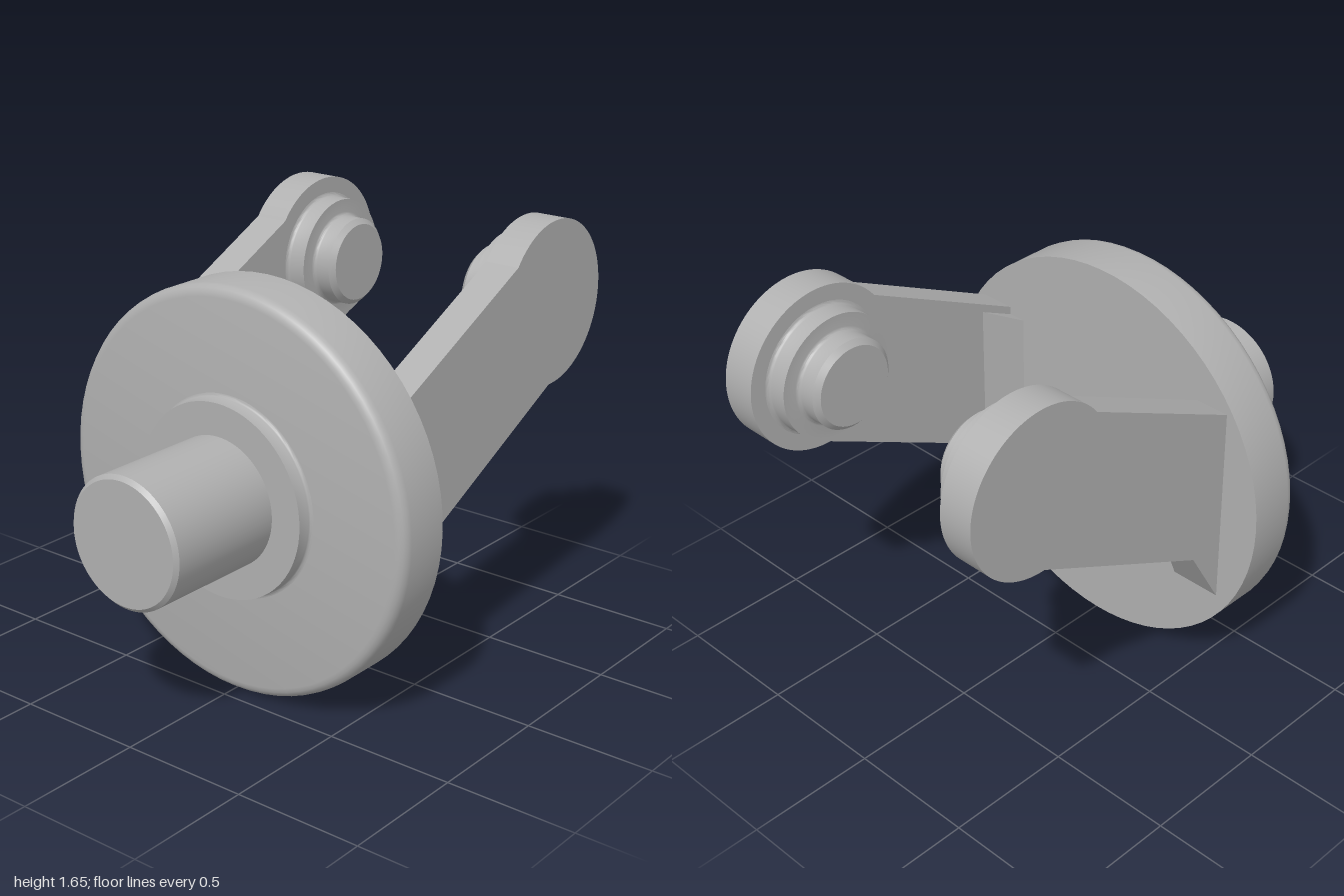
import * as THREE from 'three';
import { toCreasedNormals } from 'three/addons/utils/BufferGeometryUtils.js';

const AXIS_Y = 0.77;               // height of the shaft and disc axis
const PIVOT = [0.685, 1.335];      // centre of the rounded arm ends
const ARM_IN = 0.47, ARM_OUT = 0.607;

// Quarter arc as profile points, angles in degrees
function arc(cx, cy, r, from, to, n = 4) {
  return Array.from({ length: n + 1 }, (_, i) => {
    const a = THREE.MathUtils.degToRad(from + (to - from) * i / n);
    return [cx + r * Math.cos(a), cy + r * Math.sin(a)];
  });
}

// Turned part from [radius, height] points, sharp edges kept
function turned(points) {
  const lathe = new THREE.LatheGeometry(points.map(([r, h]) => new THREE.Vector2(r, h)), 72);
  return toCreasedNormals(lathe, 0.6);
}

export function createModel() {
  const model = new THREE.Group();
  model.name = 'forkBracket';
  const metal = new THREE.MeshStandardMaterial({ color: 0xb0b0b0 });
  metal.name = 'greyMetal';

  function add(name, geometry, x = 0, y = 0, z = 0) {
    const mesh = new THREE.Mesh(geometry, metal);
    mesh.name = name;
    mesh.position.set(x, y, z);
    model.add(mesh);
  }

  // Shaft, collar and disc turned about the x axis
  const alongX = {
    shaft: [[0, -1], [0.23, -1], [0.245, -0.985], [0.245, -0.51]],
    collar: [[0, -0.513], [0.368, -0.513], ...arc(0.383, -0.468, 0.015, 180, 90).map(
      ([r, h]) => [r, h]).slice(0, 1), ...arc(0.383, -0.47, 0.015, 180, 90)],
    disc: [[0, -0.455], ...arc(0.728, -0.413, 0.042, -90, 0), [0.77, -0.235], [0, -0.235]],
  };
  alongX.collar.splice(2, 1);
  for (const [name, points] of Object.entries(alongX)) {
    add(name, turned(points).rotateZ(-Math.PI / 2), 0, AXIS_Y, 0);
  }

  // Arm outline: foot, sloping edges and round end
  const armShape = new THREE.Shape();
  armShape.moveTo(-0.236, 1.197);
  armShape.lineTo(-0.236, 0.39);
  armShape.lineTo(-0.09, 0.638);
  armShape.absarc(PIVOT[0], PIVOT[1], 0.315, -1.6, 2.5, false);
  armShape.closePath();

  // Gusset outline at the foot of each arm
  const gussetShape = new THREE.Shape([
    [-0.236, 0.39], [-0.09, 0.638], [-0.09, 1.235], [-0.236, 1.165],
  ].map(([x, y]) => new THREE.Vector2(x, y)));

  // Stepped pin with a fillet under each step and a chamfered tip
  const pinProfile = [
    ...arc(0.253, 0.015, 0.015, 270, 180),
    [0.238, 0.08], [0.187, 0.08],
    ...arc(0.187, 0.095, 0.015, 270, 180),
    [0.172, 0.152], [0.152, 0.172], [0, 0.172],
  ];

  for (const side of [1, -1]) {
    const label = side > 0 ? 'front' : 'back';

    const arm = new THREE.ExtrudeGeometry(armShape, {
      depth: ARM_OUT - ARM_IN, bevelEnabled: false, curveSegments: 48,
    });
    add(label + 'Arm', toCreasedNormals(arm, 0.4), 0, 0, side > 0 ? ARM_IN : -ARM_OUT);

    // Gusset tapers from the disc to nothing along the arm
    const gusset = new THREE.ExtrudeGeometry(gussetShape, { depth: 0.07, bevelEnabled: false });
    const p = gusset.attributes.position;
    for (let i = 0; i < p.count; i++) {
      if (p.getX(i) > -0.1) p.setZ(i, side > 0 ? 0.07 : 0);
    }
    gusset.computeVertexNormals();
    add(label + 'Gusset', gusset, 0, 0, side > 0 ? ARM_IN - 0.07 : -ARM_IN);

    const pin = turned(pinProfile).rotateX(-side * Math.PI / 2);
    add(label + 'Pin', pin, PIVOT[0], PIVOT[1], side * ARM_IN);
  }
  return model;
}
